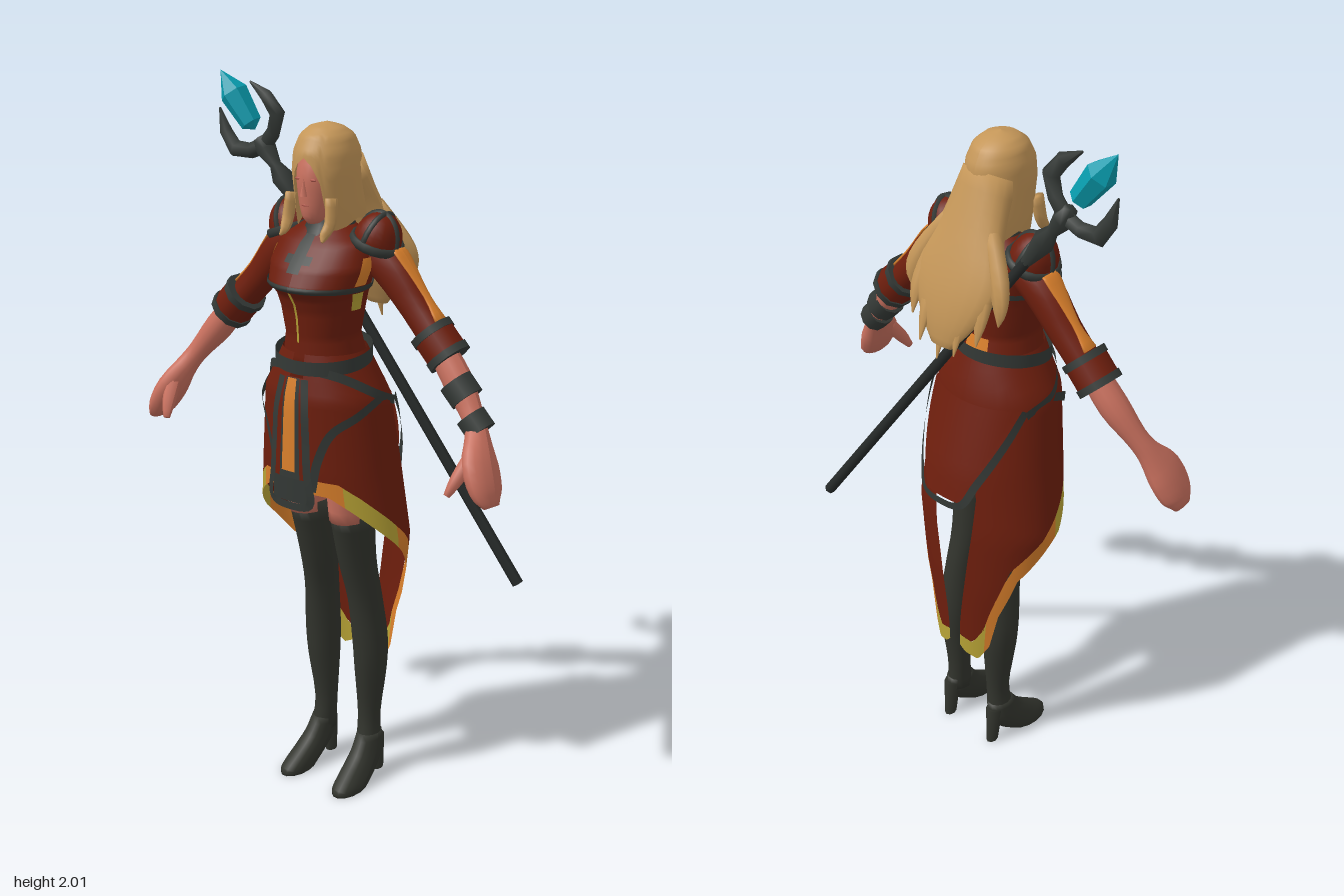
import * as THREE from 'three';

const paint = (name, color) => new THREE.MeshStandardMaterial({ name, color, side: THREE.DoubleSide });
const M = {
  red: paint('redCloth', 0x6d1e0d), dark: paint('darkTrim', 0x343936), boot: paint('bootLeather', 0x32342d),
  skin: paint('skin', 0xc8705e), hair: paint('blondHair', 0xc49658), orange: paint('orangeTrim', 0xd97f2b),
  yellow: paint('yellowTrim', 0xb9a436), teal: paint('tealCrystal', 0x089cae), black: paint('staffBlack', 0x262a29),
  lip: paint('faceDetail', 0xb2574b),
};
const V = (x, y, z) => new THREE.Vector3(x, y, z);
const lerp = THREE.MathUtils.lerp;

export function createModel() {
  const root = new THREE.Group();
  const add = (geo, mat, name, parent = root) => {
    const m = new THREE.Mesh(geo, mat);
    m.name = name;
    parent.add(m);
    return m;
  };

  // Indexed grid of points, fn(u, v) with u and v in 0..1
  const sheet = (fn, nu, nv, mat, name, parent) => {
    const pos = [], idx = [];
    for (let j = 0; j <= nv; j++) for (let i = 0; i <= nu; i++) pos.push(...fn(i / nu, j / nv).toArray());
    for (let j = 0; j < nv; j++) for (let i = 0; i < nu; i++) {
      const a = j * (nu + 1) + i, b = a + 1, c = a + nu + 1, d = c + 1;
      idx.push(a, b, c, b, d, c);
    }
    const g = new THREE.BufferGeometry();
    g.setAttribute('position', new THREE.Float32BufferAttribute(pos, 3));
    g.setIndex(idx);
    g.computeVertexNormals();
    return add(g, mat, name, parent);
  };

  // Elliptical rings [x, y, z, a, b] swept along their centres; flat keeps rings level
  const loft = (rings, mat, name, { flat = false, seg = 14, sub = 3, parent } = {}) => {
    const C = new THREE.CatmullRomCurve3(rings.map(r => V(r[0], r[1], r[2])), false, 'catmullrom');
    const R = new THREE.CatmullRomCurve3(rings.map(r => V(r[3], r[4], 0)), false, 'catmullrom');
    const n = (rings.length - 1) * sub;
    return sheet((u, v) => {
      const k = Math.round(v * (n + 2)) - 1, t = Math.min(Math.max(k / n, 0), 1);
      const c = C.getPoint(t), r = R.getPoint(t);
      if (k < 0 || k > n) return c; // closed ends
      const d = flat ? V(0, Math.sign(rings.at(-1)[1] - rings[0][1]), 0) : C.getTangent(t);
      const b = V(0, 0, 1).addScaledVector(d, -d.z).normalize();
      const a = b.clone().cross(d), p = u * Math.PI * 2;
      return c.addScaledVector(a, r.x * Math.cos(p)).addScaledVector(b, r.y * Math.sin(p));
    }, seg, n + 2, mat, name, parent);
  };

  // Linear lookup in a table whose first column ascends
  const look = (tab, k) => {
    let i = 0;
    while (i < tab.length - 2 && k > tab[i + 1][0]) i++;
    const t = Math.min(Math.max((k - tab[i][0]) / (tab[i + 1][0] - tab[i][0]), 0), 1);
    return tab[i].map((q, j) => lerp(q, tab[i + 1][j], t));
  };
  // Point on a body surface [y, halfWidth, zFront, zBack]; angle 0 faces front
  const surf = (tab, th, y, off = 0) => {
    const [, rx, zf, zb] = look(tab, y);
    return V((rx + off) * Math.sin(th), y, (zf + zb) / 2 + ((zf - zb) / 2 + off) * Math.cos(th));
  };
  const patch = (tab, t0, t1, y0, y1, mat, name, off = 0.005) =>
    sheet((u, v) => surf(tab, lerp(t0, t1, u), lerp(y1, y0, v), off), Math.ceil(Math.abs(t1 - t0) * 5) + 1, 4, mat, name);
  // Flat band of half width w through points around the body
  const ribbon = (pts, w, name, closed = false) => {
    const C = new THREE.CatmullRomCurve3(pts, closed);
    sheet((u, v) => {
      const p = C.getPoint(v), n = V(p.x, 0, p.z - .03).normalize();
      return p.addScaledVector(n.clone().cross(C.getTangent(v)).normalize(), lerp(w, -w, u)).addScaledVector(n, .008);
    }, 2, pts.length * 5, M.dark, name);
  };

  // Torso
  const torso = [[1.2, .12, .13, -.06], [1.31, .112, .16, -.06], [1.37, .1, .158, -.045], [1.44, .115, .165, -.05],
    [1.48, .125, .178, -.055], [1.51, .138, .203, -.06], [1.56, .15, .178, -.065], [1.62, .14, .125, -.06], [1.66, .07, .08, -.03]];
  sheet((u, v) => surf(torso, u * Math.PI * 2, lerp(1.66, 1.2, v)), 28, 46, M.red, 'bodice');
  patch(torso, 0, Math.PI * 2, 1.502, 1.518, M.dark, 'bustBand');
  patch(torso, -.13, .13, 1.55, 1.64, M.dark, 'chestStrip');
  patch(torso, -.28, .28, 1.572, 1.592, M.dark, 'chestCross');
  patch(torso, -.03, .03, 1.36, 1.5, M.yellow, 'bodiceLacing');
  patch(torso, Math.PI - .35, Math.PI + .35, 1.3, 1.37, M.orange, 'backPatch');
  loft([[0, 1.69, .025, .052, .056], [0, 1.66, .025, .064, .066], [0, 1.62, .028, .082, .092]], M.dark, 'collar', { flat: true });

  // Skirt: long at the back, cut away in front, slit behind
  const skirt = [[.35, .15, .1, -.15], [.5, .172, .115, -.153], [.6, .2, .13, -.155], [.8, .232, .17, -.155], [1, .205, .185, -.14],
    [1.21, .182, .185, -.105], [1.33, .115, .16, -.06]];
  const hemTab = [[.15, .95], [.5, .945], [.8, .905], [1.2, .84], [1.57, .775], [2.1, .66], [2.3, .52], [2.4, .4], [2.6, .345], [2.9, .36], [3.14, .4]];
  const slitTab = [[.45, .13], [.93, .36], [1.05, .28], [1.15, 0]];
  const hem = th => look(hemTab, th)[1];
  const rim = th => hem(th - .14) + (th < 2.5 ? .04 : .06);
  const skirtPt = (s, th, y) => surf(skirt, s * Math.min(th, Math.PI - look(slitTab, y)[1]), y);
  for (const s of [1, -1]) {
    sheet((u, v) => { const th = lerp(.15, Math.PI, u); return skirtPt(s, th, lerp(1.33, rim(th), v)); }, 40, 20, M.red, 'skirt');
    for (const [a, b, mat] of [[.15, .7, M.orange], [.7, 1.5, M.yellow], [1.5, 2.5, M.orange], [2.5, Math.PI, M.yellow]])
      sheet((u, v) => { const th = lerp(a, b, u); return skirtPt(s, th, lerp(rim(th), hem(th), v)); }, 10, 2, mat, 'skirtHem');
    const trim = (list, name) => ribbon(list.map(([th, y]) => surf(skirt, s * th, y)), .012, name);
    trim([[.3, 1.295], [.9, 1.275], [1.5, 1.225], [2.09, 1.185]], 'hipTrim');
    trim([[.27, .96], [.38, 1.05], [.6, 1.13], [1, 1.175], [1.5, 1.215]], 'frontVTrim');
    patch(torso, s * 1.3, s * 1.6, 1.52, 1.59, M.orange, 'sidePatch');
    patch(torso, s * 1.3, s * 1.6, 1.45, 1.5, M.yellow, 'sideLacing');
  }
  const belt = Array.from({ length: 16 }, (_, i) => {
    const th = i / 16 * Math.PI * 2;
    return surf(skirt, th, 1.312 - .016 * Math.cos(th), .002);
  });
  ribbon(belt, .019, 'belt', true);

  // Hanging panels at front and back with dark edging
  const panel = (mid, y0, y1, w0, w1, p0, p1, name) => {
    const at = (k, v, off = 0) => {
      const y = lerp(y0, y1, v), p = surf(skirt, mid + k * lerp(w0, w1, v), y);
      p.z += Math.cos(mid) * (lerp(p0, p1, v) + off);
      return p;
    };
    sheet((u, v) => at(u * 2 - 1, v), 12, 10, M.red, name);
    const side = k => [0, .25, .5, .75, 1].map(v => at(k, v));
    ribbon([...side(-1), at(0, 1.03), ...side(1).reverse()], .011, name + 'Edge');
    return at;
  };
  const front = panel(0, 1.27, .925, .24, .29, .008, .02, 'frontPanel');
  sheet((u, v) => front(lerp(-.6, .6, u), lerp(0, .8, v), .005), 4, 6, M.dark, 'frontPanelBacking');
  sheet((u, v) => front(lerp(-1, 1, u), lerp(.8, 1, v), .005), 4, 3, M.dark, 'frontPanelTip');
  sheet((u, v) => front(lerp(-.4, .4, u), lerp(0, .74, v), .009), 4, 6, M.orange, 'frontPanelStripe');
  panel(Math.PI, 1.2, .925, 1.05, .3, .004, .045, 'backPanel');

  for (const s of [1, -1]) {
    const mir = rings => rings.map(([x, ...r]) => [s * x, ...r]);
    // Legs and heeled boots
    loft(mir([[.075, 1.15, .03, .085, .09], [.074, .95, .03, .064, .08], [.072, .84, .03, .052, .07]]), M.skin, 'thigh', { flat: true });
    loft(mir([[.072, .87, .025, .056, .075], [.07, .7, -.005, .05, .06], [.078, .58, -.03, .046, .055], [.086, .45, -.045, .05, .055],
      [.086, .35, -.05, .045, .052], [.08, .2, -.052, .033, .035], [.085, .1, -.045, .035, .044]]), M.boot, 'boot', { flat: true });
    loft(mir([[.084, .14, -.048, .033, .042], [.088, .09, -.03, .037, .062], [.092, .05, .008, .04, .077], [.096, .02, .045, .041, .08],
      [.097, 0, .062, .039, .068]]), M.boot, 'foot', { flat: true });
    loft(mir([[.088, .12, -.075, .026, .024], [.088, 0, -.085, .015, .02]]), M.boot, 'heel', { flat: true, seg: 8, sub: 1 });

    // Sleeve, stripe and cuff
    loft(mir([[.1, 1.61, 0, .05, .05], [.18, 1.56, 0, .056, .05], [.26, 1.47, 0, .046, .044], [.34, 1.385, .005, .044, .044]]), M.red, 'sleeve');
    loft(mir([[.202, 1.608, 0, .007, .026], [.222, 1.59, 0, .007, .027], [.294, 1.5, 0, .006, .013], [.34, 1.445, .003, .007, .024]]), M.orange, 'sleeveStripe');
    const band = (x, y, z, r, len, mat, name) =>
      add(new THREE.CylinderGeometry(r, r, len, 10).rotateZ(s * .764).translate(s * x, y, z), mat, name);
    band(.345, 1.382, .008, .058, .07, M.red, 'cuff');
    band(.32, 1.408, .008, .062, .02, M.dark, 'cuffUpperTrim');
    band(.37, 1.356, .008, .062, .02, M.dark, 'cuffLowerTrim');

    // Forearm and hand
    loft(mir([[.34, 1.385, .01, .036, .036], [.41, 1.3, .02, .04, .04], [.47, 1.225, .04, .03, .03], [.5, 1.18, .06, .03, .036],
      [.53, 1.12, .09, .036, .06], [.56, 1.06, .105, .03, .056], [.582, 1.025, .11, .012, .03]]), M.skin, 'forearmAndHand');
    loft(mir([[.515, 1.15, .1, .022, .022], [.498, 1.09, .145, .018, .02], [.485, 1.05, .17, .009, .01]]), M.skin, 'thumb', { seg: 8 });
    if (s > 0) {
      band(.424, 1.28, .024, .047, .055, M.dark, 'upperBracelet');
      band(.485, 1.208, .045, .042, .05, M.dark, 'lowerBracelet');
    }

    // Shoulder pad
    const pad = new THREE.Group();
    pad.name = 'shoulderPad';
    pad.position.set(s * .14, 1.622, .01);
    pad.rotation.z = -s * .35;
    pad.scale.set(.064, .082, .066);
    root.add(pad);
    add(new THREE.SphereGeometry(1, 16, 8, 0, Math.PI * 2, 0, Math.PI / 2), M.red, 'padDome', pad);
    add(new THREE.TorusGeometry(1, .16, 6, 18).rotateX(Math.PI / 2), M.dark, 'padRim', pad);
    for (const a of [0, Math.PI / 2])
      add(new THREE.TorusGeometry(.94, .14, 6, 14, Math.PI).rotateY(a), M.dark, 'padStrap', pad);

    // Front locks of hair
    loft(mir([[.066, 1.74, .105, .014, .02], [.07, 1.68, .115, .014, .018], [.066, 1.65, .135, .011, .014], [.07, 1.635, .15, .003, .004]]), M.hair, 'frontLock', { seg: 8 });
    // Eyes
    add(new THREE.SphereGeometry(1, 8, 6).scale(.011, .004, .004).translate(s * .024, 1.785, .129), M.lip, 'eye');
  }

  // Head
  loft([[0, 1.76, .045, .036, .038], [0, 1.64, .03, .038, .038]], M.skin, 'neck', { flat: true, sub: 1 });
  loft([[0, 1.87, .045, .055, .065], [0, 1.8, .06, .06, .075], [0, 1.74, .07, .052, .065], [0, 1.69, .085, .034, .045], [0, 1.668, .095, .015, .02]],
    M.skin, 'head', { flat: true, seg: 18 });
  add(new THREE.ConeGeometry(.011, .045, 6).translate(0, 1.765, .136), M.skin, 'nose');
  add(new THREE.SphereGeometry(1, 8, 6).scale(.014, .004, .004).translate(0, 1.718, .13), M.lip, 'mouth');

  // Hair cap with a face opening
  const cap = [[1.62, .078, .12, -.1], [1.7, .084, .13, -.09], [1.8, .086, .14, -.06], [1.85, .083, .135, -.055],
    [1.89, .068, .115, -.035], [1.912, .042, .085, 0], [1.922, 0, .04, .04]];
  const capHem = [[0, 1.84], [.3, 1.82], [.52, 1.78], [.64, 1.69], [.8, 1.65], [1.2, 1.66], [1.6, 1.68], [3.15, 1.62]];
  sheet((u, v) => {
    const th = lerp(-Math.PI, Math.PI, u);
    return surf(cap, th, lerp(1.922, look(capHem, Math.abs(th))[1], v * v * .6 + v * .4));
  }, 48, 20, M.hair, 'hairCap');

  // Long hair down the back, ending in separate strands
  loft([[0, 1.82, 0, .078, .058], [0, 1.7, -.06, .1, .048], [0, 1.6, -.105, .135, .045], [0, 1.53, -.14, .125, .035],
    [0, 1.46, -.165, .085, .025], [0, 1.4, -.182, .035, .01]], M.hair, 'hairMane', { seg: 18 });
  for (const [x, y, z] of [[-.15, 1.49, -.13], [-.105, 1.43, -.165], [-.05, 1.39, -.19], [.01, 1.36, -.19], [.06, 1.4, -.2], [.11, 1.45, -.175], [.15, 1.5, -.135]])
    loft([[x * .5, 1.7, -.07, .022, .022], [x * .9, 1.6, -.11, .028, .022], [x * 1.02, lerp(y, 1.6, .45), lerp(z, -.12, .4), .022, .014],
      [x, y, z, .002, .002]], M.hair, 'hairStrand', { seg: 8 });

  // Staff slung across the back
  const staff = new THREE.Group();
  staff.name = 'staff';
  const end = V(.5, .69, -.165), dir = V(-.42, 2, -.03).sub(end).normalize();
  staff.position.copy(end).addScaledVector(dir, 1.38);
  staff.quaternion.setFromUnitVectors(V(0, 1, 0), dir);
  root.add(staff);
  add(new THREE.CylinderGeometry(.014, .016, 1.38, 6).translate(0, -.69, 0), M.black, 'shaft', staff);
  loft([[0, -.19, 0, .015, .015], [0, -.1, 0, .032, .032], [0, -.06, 0, .017, .017], [0, -.01, 0, .03, .03], [0, .025, 0, .02, .02]],
    M.dark, 'staffJoint', { seg: 6, sub: 1, parent: staff });
  for (const s of [1, -1])
    loft([[0, 0, 0, .022, .018], [s * .05, .012, 0, .022, .018], [s * .096, .045, 0, .026, .02], [s * .094, .1, 0, .021, .016], [s * .07, .16, 0, .003, .003]],
      M.dark, 'prong', { seg: 6, sub: 1, parent: staff });
  const crystal = new THREE.LatheGeometry([[0, .05], [.03, .07], [.04, .165], [0, .238]].map(p => new THREE.Vector2(...p)), 6).toNonIndexed();
  crystal.computeVertexNormals();
  add(crystal, M.teal, 'crystal', staff);

  return root;
}
